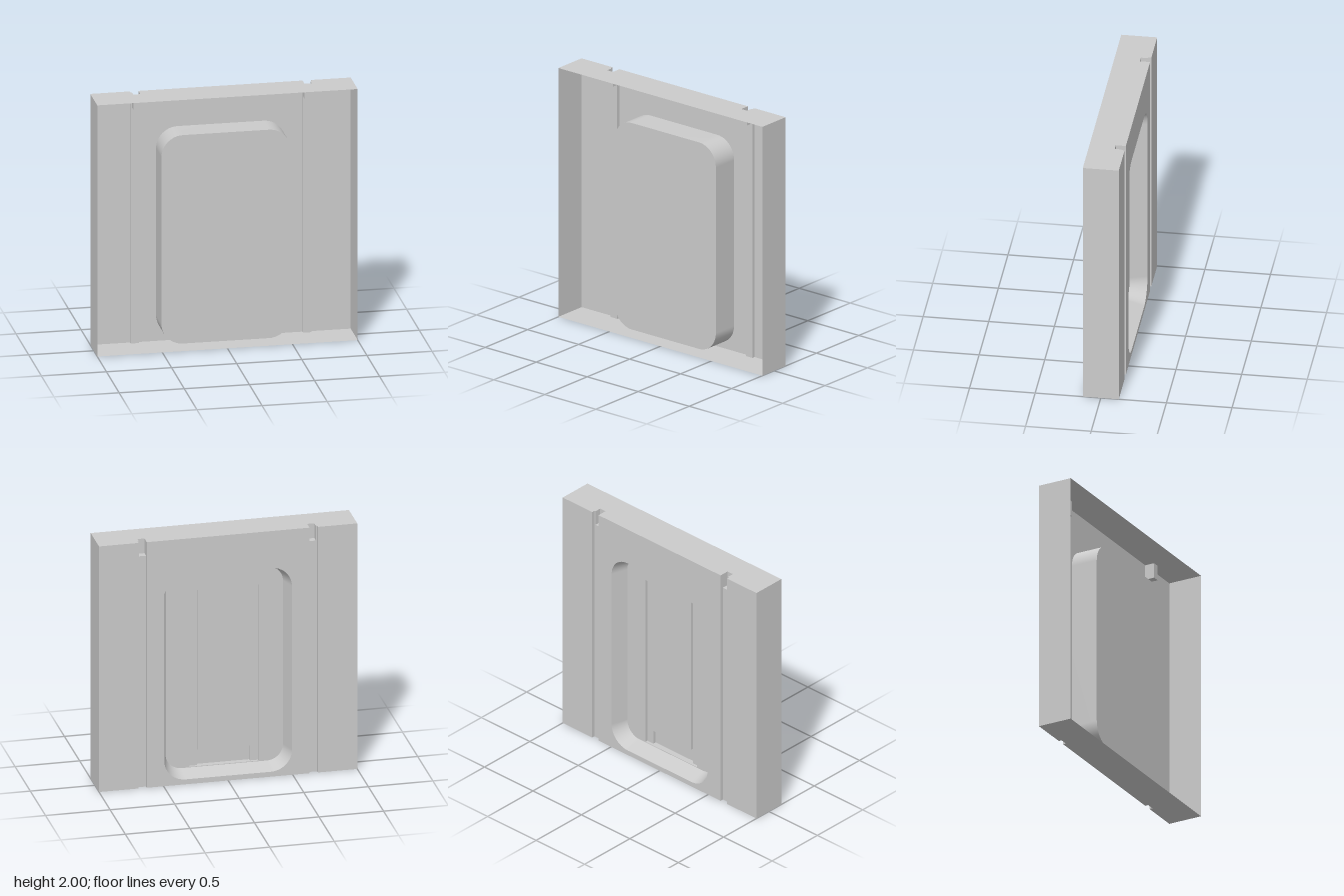
import * as THREE from 'three';

const mat = new THREE.MeshStandardMaterial({ color: 0xcccccc, side: THREE.DoubleSide });

const BACK = -0.137, FRONT = 0.137, TOP = 2;
const GROOVE_Z = -0.112, NOTCH_Z = -0.06, NOTCH_Y = 1.88;
const PAD_Z = 0.078, RECESS_Z = -0.007, SLOT_Z = 0.013, POCKET_Z = 0.038;

export function createModel() {
  const model = new THREE.Group();

  function add(name, geometry) {
    const mesh = new THREE.Mesh(geometry, mat);
    mesh.name = name;
    model.add(mesh);
    return mesh;
  }

  const points = list => list.map(([x, y]) => new THREE.Vector2(x, y));
  const rect = (x0, x1, y0, y1) => points([[x0, y0], [x1, y0], [x1, y1], [x0, y1]]);

  // Outline of a rounded rectangle, counter-clockwise
  function roundedRect(hw, y0, y1, r) {
    const out = [], n = 12;
    const corners = [[hw - r, y0 + r, -1], [hw - r, y1 - r, 0], [r - hw, y1 - r, 1], [r - hw, y0 + r, 2]];
    for (const [cx, cy, quarter] of corners)
      for (let i = 0; i <= n; i++) {
        const a = (quarter + i / n) * Math.PI / 2;
        out.push(new THREE.Vector2(cx + r * Math.cos(a), cy + r * Math.sin(a)));
      }
    return out;
  }

  // Flat sheet facing the front or back, with optional holes
  function face(name, outline, z, facing, holes = []) {
    const shape = new THREE.Shape(outline);
    for (const h of holes) shape.holes.push(new THREE.Path(h));
    const g = new THREE.ShapeGeometry(shape);
    if (facing < 0) {
      const idx = g.index.array;
      for (let i = 0; i < idx.length; i += 3) [idx[i], idx[i + 1]] = [idx[i + 1], idx[i]];
      g.computeVertexNormals();
    }
    g.translate(0, 0, z);
    return add(name, g);
  }

  // Wall joining outline a at depth za to outline b at depth zb
  function wall(name, a, za, b, zb, inward, smooth) {
    const n = a.length, pos = [], index = [];
    a.forEach(p => pos.push(p.x, p.y, za));
    b.forEach(p => pos.push(p.x, p.y, zb));
    for (let i = 0; i < n; i++) {
      const j = (i + 1) % n;
      if (inward) index.push(i, n + j, j, i, n + i, n + j);
      else index.push(i, j, n + j, i, n + j, n + i);
    }
    let g = new THREE.BufferGeometry();
    g.setAttribute('position', new THREE.Float32BufferAttribute(pos, 3));
    g.setIndex(index);
    if (!smooth) g = g.toNonIndexed();
    g.computeVertexNormals();
    return add(name, g);
  }

  // Upright sheet facing sideways at x, spanning depth and height
  function side(name, x, z0, z1, y0, y1, facing) {
    const g = new THREE.PlaneGeometry(Math.abs(z1 - z0), y1 - y0);
    g.rotateY(facing * Math.PI / 2);
    g.translate(x, (y0 + y1) / 2, (z0 + z1) / 2);
    return add(name, g);
  }

  // Top and bottom sheets, cut where the back grooves run through
  function cap(name, y, facing, notched) {
    const half = [[1, FRONT], [1, BACK], [0.695, BACK], [0.695, GROOVE_Z]];
    if (notched) half.push([0.685, GROOVE_Z], [0.685, NOTCH_Z], [0.63, NOTCH_Z]);
    else half.push([0.63, GROOVE_Z]);
    half.push([0.63, BACK]);
    const mirrored = half.map(([x, z]) => [-x, z]).reverse();
    const g = new THREE.ShapeGeometry(new THREE.Shape(points([...half, ...mirrored])));
    g.rotateX(Math.PI / 2);
    if (facing > 0) {
      const idx = g.index.array;
      for (let i = 0; i < idx.length; i += 3) [idx[i], idx[i + 1]] = [idx[i + 1], idx[i]];
      g.computeVertexNormals();
    }
    g.translate(0, y, 0);
    add(name, g);
  }
  cap('topWall', TOP, 1, true);
  cap('bottomWall', 0, -1, false);

  // Outer walls, back side panels and the long grooves, mirrored
  for (const s of [1, -1]) {
    const prefix = s > 0 ? 'left' : 'right';
    const span = (a, b, y0, y1) => rect(Math.min(s * a, s * b), Math.max(s * a, s * b), y0, y1);
    side(prefix + 'Wall', s, BACK, FRONT, 0, TOP, s);
    face(prefix + 'BackPanel', span(0.695, 1, 0, TOP), BACK, -1);
    side(prefix + 'GrooveOuterSide', s * 0.695, BACK, GROOVE_Z, 0, TOP, -s);
    side(prefix + 'GrooveInnerSide', s * 0.63, BACK, GROOVE_Z, 0, TOP, s);
    face(prefix + 'GrooveFloor', span(0.63, 0.695, 0, NOTCH_Y), GROOVE_Z, -1);
    face(prefix + 'GrooveFloorEdge', span(0.685, 0.695, NOTCH_Y, TOP), GROOVE_Z, -1);

    // Deeper notch at the top of the groove
    side(prefix + 'NotchOuterSide', s * 0.685, GROOVE_Z, NOTCH_Z, NOTCH_Y, TOP, -s);
    side(prefix + 'NotchInnerSide', s * 0.63, GROOVE_Z, NOTCH_Z, NOTCH_Y, TOP, s);
    face(prefix + 'NotchBack', span(0.63, 0.685, NOTCH_Y, TOP), NOTCH_Z, -1);
    const ledge = new THREE.PlaneGeometry(0.055, NOTCH_Z - GROOVE_Z).rotateX(-Math.PI / 2);
    ledge.translate(s * 0.6575, NOTCH_Y, (GROOVE_Z + NOTCH_Z) / 2);
    add(prefix + 'NotchLedge', ledge);
  }

  // Middle of the back with the rounded opening
  const opening = roundedRect(0.495, 0.04, 1.7, 0.165);
  face('backCentre', rect(-0.63, 0.63, 0, TOP), BACK, -1, [opening]);

  // Raised rounded pad on the front
  wall('padSide', opening, BACK, opening, PAD_Z, false, true);
  face('padFront', opening, PAD_Z, 1);

  // Recess in the back with sloping sides
  const inner = roundedRect(0.455, 0.08, 1.66, 0.125);
  wall('recessSide', opening, BACK, inner, RECESS_Z, true, true);

  // Two upright slots joined by a deeper pocket at the foot
  const slots = points([
    [-0.267, 0.085], [0.267, 0.085], [0.267, 1.52], [0.205, 1.52],
    [0.205, 0.215], [-0.205, 0.215], [-0.205, 1.52], [-0.267, 1.52],
  ]);
  face('recessFloor', inner, RECESS_Z, -1, [slots]);
  wall('slotSides', slots, RECESS_Z, slots, SLOT_Z, true, false);
  face('leftSlotFloor', rect(0.205, 0.267, 0.085, 1.52), SLOT_Z, -1);
  face('rightSlotFloor', rect(-0.267, -0.205, 0.085, 1.52), SLOT_Z, -1);
  const pocket = rect(-0.205, 0.205, 0.085, 0.215);
  wall('pocketSides', pocket, SLOT_Z, pocket, POCKET_Z, true, false);
  face('pocketFloor', pocket, POCKET_Z, -1);

  return model;
}
